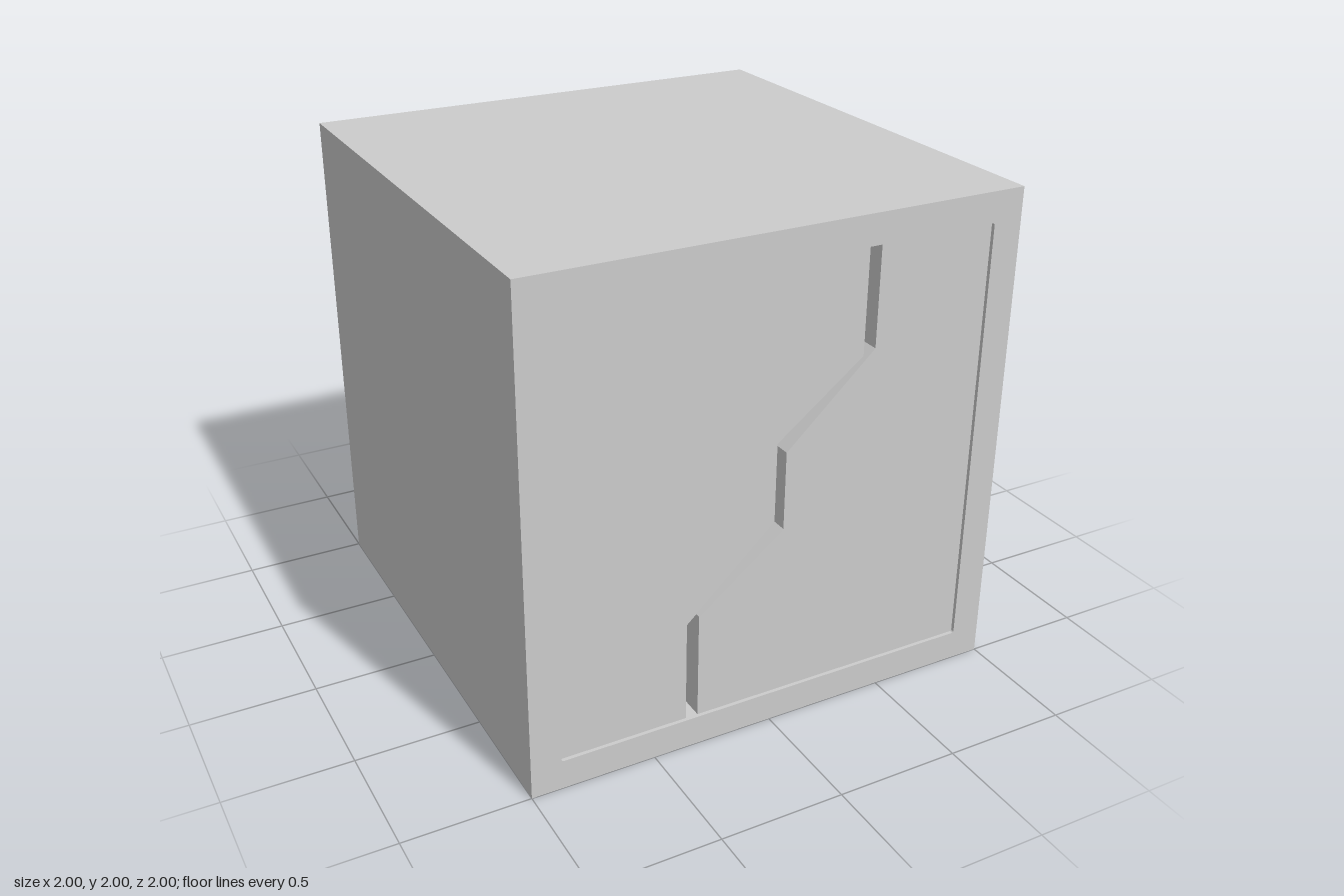
import * as THREE from 'three';

const HALF = 0.88;       // half-width of the front opening
const CAVITY_BACK = -0.6;
const DOOR_FRONT = 0.985;
const DOOR_DEPTH = 0.15;

const material = new THREE.MeshStandardMaterial({ color: 0xcccccc });

function addMesh(parent, name, geometry) {
  const mesh = new THREE.Mesh(geometry, material);
  mesh.name = name;
  parent.add(mesh);
  return mesh;
}

// square with slightly rounded corners, counter-clockwise, centred on the origin
function roundedSquare(h, r, Type) {
  const s = new Type();
  s.moveTo(-h + r, -h);
  s.lineTo(h - r, -h);
  s.absarc(h - r, -h + r, r, -Math.PI / 2, 0);
  s.lineTo(h, h - r);
  s.absarc(h - r, h - r, r, 0, Math.PI / 2);
  s.lineTo(-h + r, h);
  s.absarc(-h + r, h - r, r, Math.PI / 2, Math.PI);
  s.lineTo(-h, -h + r);
  s.absarc(-h + r, -h + r, r, Math.PI, Math.PI * 1.5);
  return s;
}

// walls that follow a closed outline between two depths, facing inwards
function inwardWalls(outline, z0, z1) {
  const positions = [];
  outline.forEach((a, i) => {
    const b = outline[(i + 1) % outline.length];
    if (a.distanceTo(b) < 1e-6) return;
    positions.push(a.x, a.y, z0, b.x, b.y, z1, b.x, b.y, z0);
    positions.push(a.x, a.y, z0, a.x, a.y, z1, b.x, b.y, z1);
  });
  const g = new THREE.BufferGeometry();
  g.setAttribute('position', new THREE.Float32BufferAttribute(positions, 3));
  g.computeVertexNormals();
  return g;
}

// door panel, outline given in x and height above the ground
function doorGeometry(points) {
  const shape = new THREE.Shape(points.map(([x, y]) => new THREE.Vector2(x, y - 1)));
  const g = new THREE.ExtrudeGeometry(shape, { depth: DOOR_DEPTH, bevelEnabled: false });
  return g.translate(0, 0, DOOR_FRONT - DOOR_DEPTH);
}

export function createModel() {
  const model = new THREE.Group();
  model.name = 'cabinet';
  const body = new THREE.Group();
  body.position.y = 1;
  model.add(body);

  // outer shell: a cube without its front face
  const shell = new THREE.BoxGeometry(2, 2, 2);
  const index = Array.from(shell.index.array);
  index.splice(24, 6);
  shell.setIndex(index);
  shell.clearGroups();
  addMesh(body, 'outerShell', shell);

  // front frame around the opening
  const front = new THREE.Shape([[-1, -1], [1, -1], [1, 1], [-1, 1]].map(p => new THREE.Vector2(...p)));
  front.holes.push(roundedSquare(HALF, 0.01, THREE.Path));
  addMesh(body, 'frontFrame', new THREE.ShapeGeometry(front, 4)).position.z = 1;

  // cavity behind the doors
  const opening = roundedSquare(HALF, 0.01, THREE.Shape);
  addMesh(body, 'cavityWalls', inwardWalls(opening.getPoints(4), CAVITY_BACK, 1));
  addMesh(body, 'cavityBack', new THREE.ShapeGeometry(opening, 4)).position.z = CAVITY_BACK;

  // two doors with a stepped gap between them
  const lo = 1 - HALF, hi = 1 + HALF;
  addMesh(body, 'rightDoor', doorGeometry([
    [-HALF, lo], [-0.36, lo], [-0.36, 0.535], [0, 0.87],
    [0, 1.19], [0.35, 1.46], [0.35, hi], [-HALF, hi],
  ]));
  addMesh(body, 'leftDoor', doorGeometry([
    [HALF, lo], [HALF, hi], [0.4, hi], [0.4, 1.48],
    [0.04, 1.145], [0.04, 0.83], [-0.31, 0.555], [-0.31, lo],
  ]));

  return model;
}
